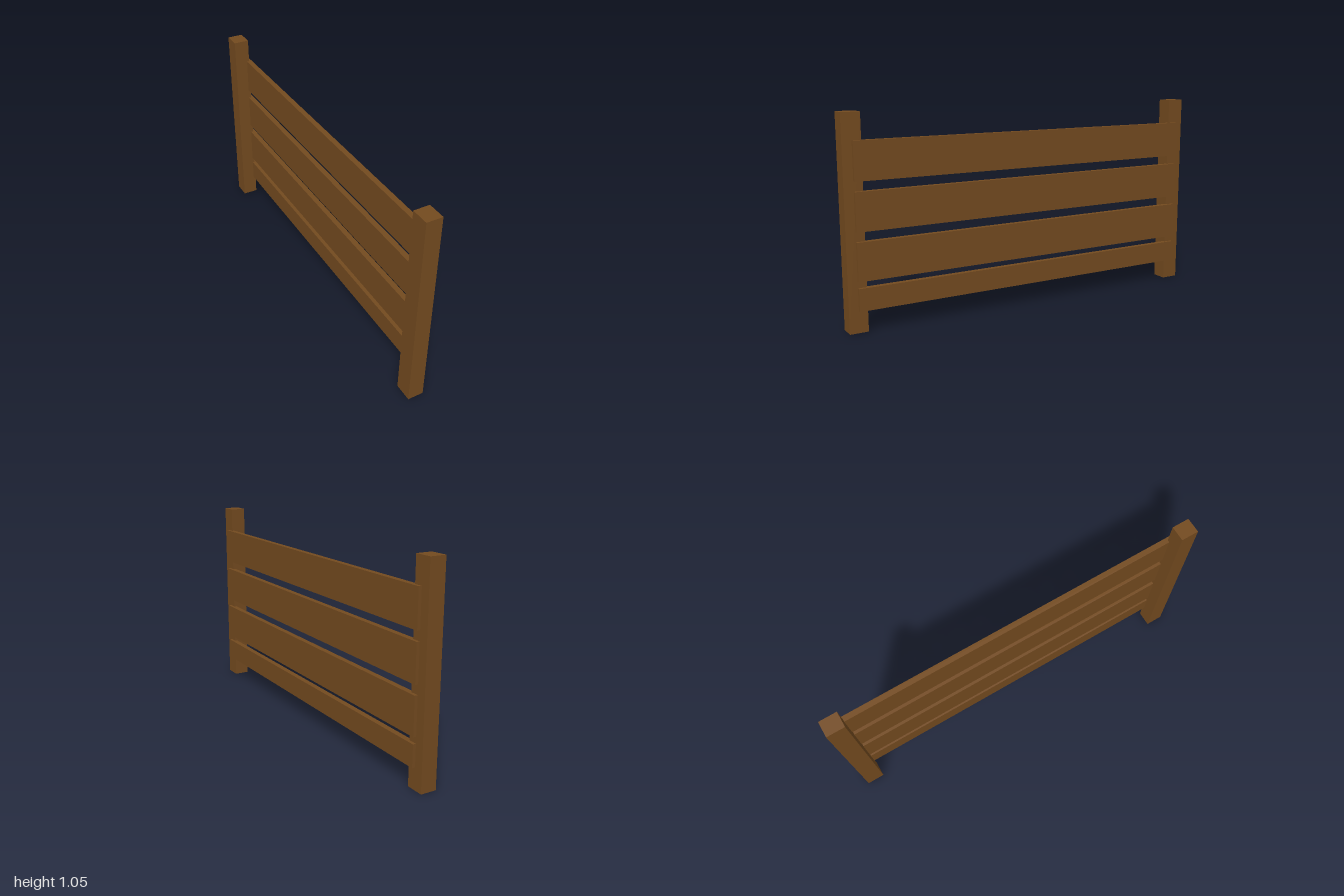
import * as THREE from 'three';

export function createModel() {
  const group = new THREE.Group();
  const wood = new THREE.MeshStandardMaterial({ color: 0x734a1f });

  // Box given by its lower and upper limits on each axis
  function addBox(name, [x0, x1], [y0, y1], [z0, z1]) {
    const mesh = new THREE.Mesh(new THREE.BoxGeometry(x1 - x0, y1 - y0, z1 - z0), wood);
    mesh.position.set((x0 + x1) / 2, (y0 + y1) / 2, (z0 + z1) / 2);
    mesh.name = name;
    group.add(mesh);
  }

  // Square posts at both ends
  addBox('frontPost', [-0.049, 0.033], [0, 1.048], [0.907, 1]);
  addBox('backPost', [-0.049, 0.033], [0, 1.048], [-1, -0.907]);

  // Horizontal planks let into the posts, the lowest one narrower
  const planks = [[0.109, 0.221], [0.254, 0.444], [0.492, 0.682], [0.73, 0.919]];
  planks.forEach((height, i) => addBox(`plank${i + 1}`, [0.02, 0.049], height, [-0.952, 0.952]));

  return group;
}
